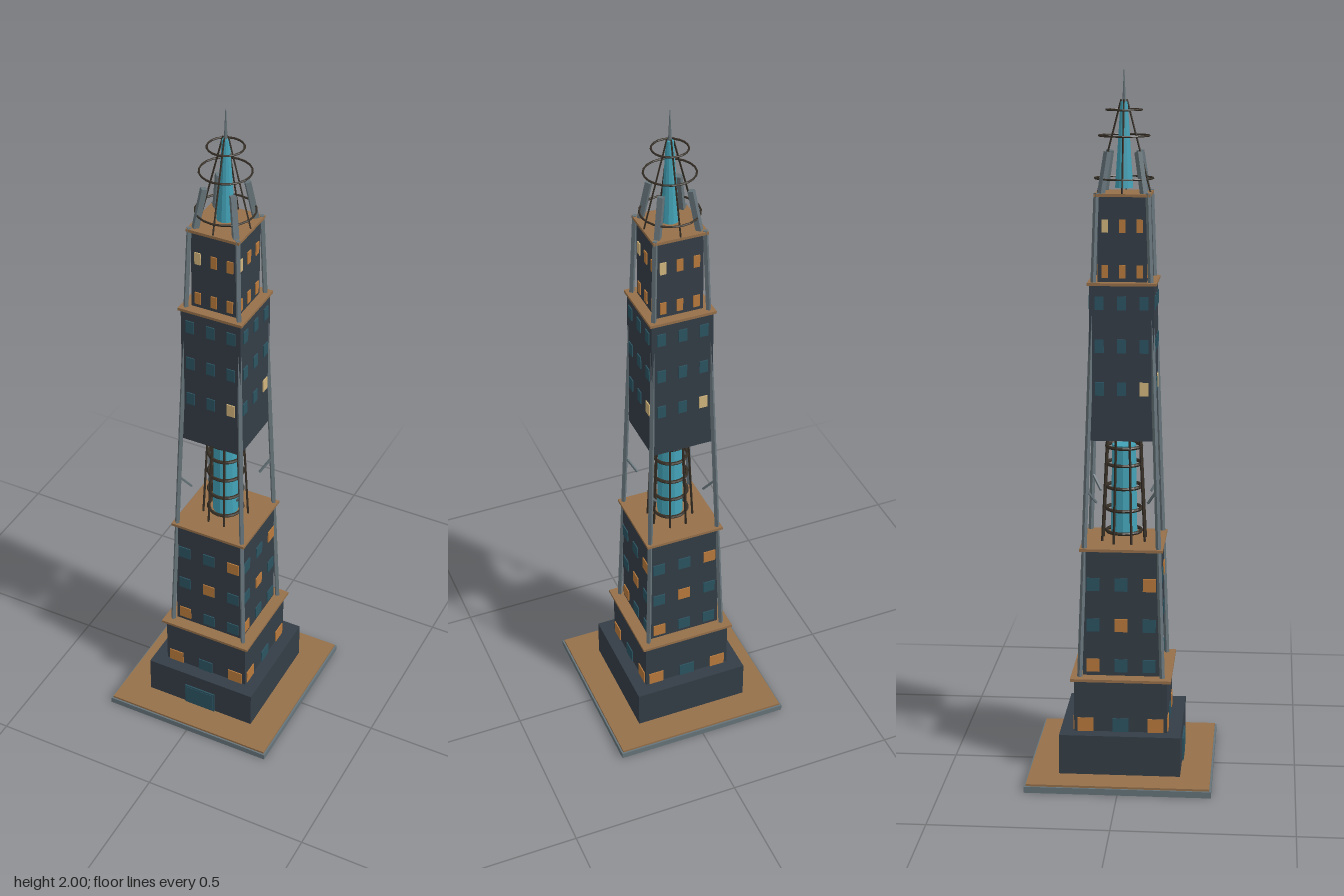
import * as THREE from 'three';

const mat = (color) => new THREE.MeshStandardMaterial({ color, flatShading: true });

export function createModel() {
  const tower = new THREE.Group();
  tower.name = 'tower';
  const M = {
    wall: mat(0x343d46), steel: mat(0x66747a), copper: mat(0x96704a), bronze: mat(0x352e25),
    glass: mat(0x2b5462), amber: mat(0xb97a3c), pale: mat(0xd2b57c), crystal: mat(0x43a3b8),
  };

  const add = (name, geo, material, x = 0, y = 0, z = 0, parent = tower) => {
    const m = new THREE.Mesh(geo, material);
    m.name = name;
    m.position.set(x, y, z);
    parent.add(m);
    return m;
  };
  // Square block given half width and bottom / top heights
  const block = (name, half, y0, y1, material) =>
    add(name, new THREE.BoxGeometry(half * 2, y1 - y0, half * 2), material, 0, (y0 + y1) / 2, 0);
  // Straight bar between two points
  const bar = (name, a, b, r, material, sides = 4) => {
    const d = b.clone().sub(a);
    const m = add(name, new THREE.CylinderGeometry(r, r, d.length(), sides), material);
    m.position.copy(a).add(b).multiplyScalar(0.5);
    m.quaternion.setFromUnitVectors(new THREE.Vector3(0, 1, 0), d.normalize());
    return m;
  };
  const polar = (angle, r, y) => new THREE.Vector3(Math.cos(angle) * r, y, Math.sin(angle) * r);
  const ring = (name, r, y, tube) =>
    add(name, new THREE.TorusGeometry(r, tube, 6, 20), M.bronze, 0, y, 0).rotateX(Math.PI / 2);

  // Ground slab
  block('groundSlab', 0.264, 0, 0.018, M.steel);
  block('plazaPaving', 0.259, 0.018, 0.024, M.copper);

  // Stacked tiers
  block('podium', 0.173, 0.024, 0.14, M.wall);
  block('lowerTier', 0.133, 0.14, 0.29, M.wall);
  block('middleTier', 0.109, 0.3, 0.668, M.wall);
  block('upperTier', 0.09, 0.982, 1.418, M.wall);
  block('crownTier', 0.068, 1.426, 1.66, M.wall);

  // Copper roof ledges
  [[0.144, 0.29], [0.118, 0.667], [0.096, 1.418], [0.078, 1.66]].forEach(([half, y]) =>
    block('copperLedge', half, y, y + 0.008, M.copper));

  // Entrance on the front
  add('doorFrame', new THREE.BoxGeometry(0.1, 0.07, 0.006), M.glass, 0, 0.059, 0.174);
  for (const s of [-1, 1])
    add('doorLeaf', new THREE.BoxGeometry(0.042, 0.062, 0.004), M.glass, s * 0.023, 0.057, 0.176);

  // Windows: g = dark glass, a = amber, p = pale; same layout on all four sides
  const windowRows = [
    [0.133, 0.16, 0.1, 0.046, 0.04, 'aga'],
    [0.109, 0.33, 0.08, 0.037, 0.038, 'agg'],
    [0.109, 0.45, 0.08, 0.037, 0.038, 'gag'],
    [0.109, 0.57, 0.08, 0.037, 0.038, 'gga'],
    [0.09, 1.13, 0.062, 0.025, 0.038, 'ggp'],
    [0.09, 1.25, 0.062, 0.025, 0.038, 'ggg'],
    [0.09, 1.37, 0.062, 0.025, 0.038, 'ggg'],
    [0.068, 1.455, 0.048, 0.018, 0.036, 'aaa'],
    [0.068, 1.58, 0.048, 0.018, 0.036, 'paa'],
  ];
  const glow = { g: M.glass, a: M.amber, p: M.pale };
  for (let side = 0; side < 4; side++) {
    const wall = new THREE.Group();
    wall.name = 'windowWall';
    wall.rotation.y = side * Math.PI / 2;
    tower.add(wall);
    for (const [depth, y, step, w, h, lights] of windowRows)
      [...lights].forEach((c, i) =>
        add('window', new THREE.BoxGeometry(w, h, 0.004), glow[c], (i - 1) * step, y, depth + 0.001, wall));
  }

  // Corner posts, short braces and crown fins
  for (const sx of [-1, 1]) for (const sz of [-1, 1]) {
    const corner = (d, y) => new THREE.Vector3(sx * d, y, sz * d);
    bar('cornerPost', corner(0.118, 0.298), corner(0.071, 1.67), 0.0075, M.steel);
    bar('postBrace', corner(0.1, 0.845), corner(0.073, 0.8), 0.004, M.steel);
    bar('crownFin', corner(0.06, 1.66), corner(0.042, 1.78), 0.011, M.steel);
  }

  // Exposed core with its cage
  add('coreCrystal', new THREE.CylinderGeometry(0.034, 0.038, 0.26, 12), M.crystal, 0, 0.825, 0);
  [0.702, 0.768, 0.833, 0.9, 0.95].forEach((y) => ring('coreRing', 0.05, y, 0.005));
  for (let i = 0; i < 8; i++) {
    const a = (i + 0.5) * Math.PI / 4;
    bar('cageStrut', polar(a, 0.066, 0.672), polar(a, 0.05, 0.985), 0.0035, M.bronze);
  }

  // Spire
  add('spireCrystal', new THREE.CylinderGeometry(0.01, 0.025, 0.235, 12), M.crystal, 0, 1.797, 0);
  add('mast', new THREE.CylinderGeometry(0.001, 0.005, 0.09, 6), M.steel, 0, 1.955, 0);
  [[0.081, 1.706], [0.07, 1.822], [0.049, 1.892]].forEach(([r, y]) => ring('spireRing', r, y, 0.0028));
  for (let i = 0; i < 4; i++) {
    const a = i * Math.PI / 2;
    bar('spireStay', polar(a, 0.074, 1.665), polar(a, 0.008, 1.92), 0.0025, M.bronze);
  }
  return tower;
}
